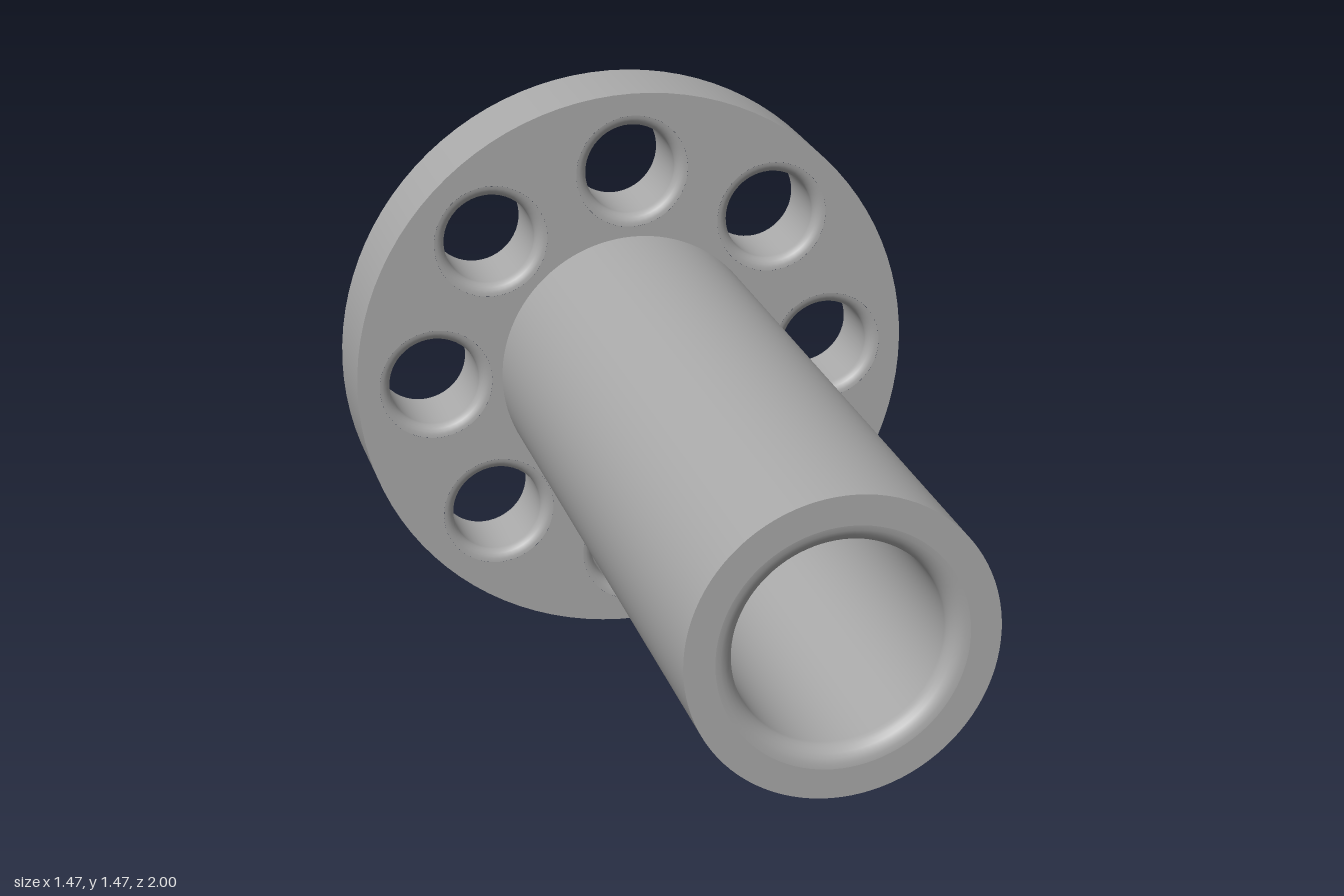
import * as THREE from 'three';

const R = 0.736, PIPE_R = 0.355, BORE_R = 0.24, HOLE_R = 0.118, BOLT_R = 0.53;
const BACK = -1, FACE = -0.767, FRONT = 1, FLOOR = -0.767;
const BORE_FILLET = 0.045, HOLE_FILLET = 0.03;

const steel = new THREE.MeshStandardMaterial({ color: 0xaaaaaa });
steel.name = 'grey steel';

// Surface of revolution about z; points are [radius, z], rising z faces outward
function revolve(points, segments) {
  const pts = points.map(([r, z]) => new THREE.Vector2(r, z));
  return new THREE.LatheGeometry(pts, segments).rotateX(Math.PI / 2);
}

// Quarter-round mouth of a hole, from the face (dir = +1 front, -1 back) into the wall
function mouth(r, f, z, dir) {
  const pts = [];
  for (let i = 0; i <= 6; i++) {
    const a = (i / 6) * Math.PI / 2;
    pts.push([r + f - f * Math.sin(a), z - dir * f * (1 - Math.cos(a))]);
  }
  return pts;
}

const boltCentres = Array.from({ length: 8 }, (_, i) => {
  const a = (i * Math.PI) / 4;
  return [BOLT_R * Math.cos(a), BOLT_R * Math.sin(a)];
});

// Flat flange face pierced by the bolt holes
function flangeFace(centreHole) {
  const shape = new THREE.Shape().absarc(0, 0, R, 0, Math.PI * 2);
  const cut = (x, y, r) => shape.holes.push(new THREE.Path().absarc(x, y, r, 0, Math.PI * 2, true));
  boltCentres.forEach(([x, y]) => cut(x, y, HOLE_R + HOLE_FILLET));
  if (centreHole) cut(0, 0, centreHole);
  return new THREE.ShapeGeometry(shape, 48);
}

export function createModel() {
  const model = new THREE.Group();
  model.name = 'flangedSleeve';
  const add = (name, geometry, x = 0, y = 0, z = 0) => {
    const mesh = new THREE.Mesh(geometry, steel);
    mesh.name = name;
    mesh.position.set(x, y + R, z);
    model.add(mesh);
  };

  // Flange disc
  add('flangeRim', revolve([[R, BACK], [R, FACE]], 96));
  add('flangeFrontFace', flangeFace(PIPE_R), 0, 0, FACE);
  add('flangeBackFace', flangeFace(0).rotateY(Math.PI), 0, 0, BACK);

  // Bolt holes, rounded at both ends
  const wall = revolve([
    ...mouth(HOLE_R, HOLE_FILLET, FACE, 1),
    ...mouth(HOLE_R, HOLE_FILLET, BACK, -1).reverse(),
  ], 48);
  boltCentres.forEach(([x, y], i) => add(`boltHole${i + 1}`, wall, x, y));

  // Sleeve with a blind bore
  add('sleeveOuter', revolve([[PIPE_R, FACE], [PIPE_R, FRONT]], 96));
  add('sleeveEnd', new THREE.RingGeometry(BORE_R + BORE_FILLET, PIPE_R, 96), 0, 0, FRONT);
  add('boreWall', revolve([...mouth(BORE_R, BORE_FILLET, FRONT, 1), [BORE_R, FLOOR]], 96));
  add('boreFloor', new THREE.CircleGeometry(BORE_R, 96), 0, 0, FLOOR);

  return model;
}
